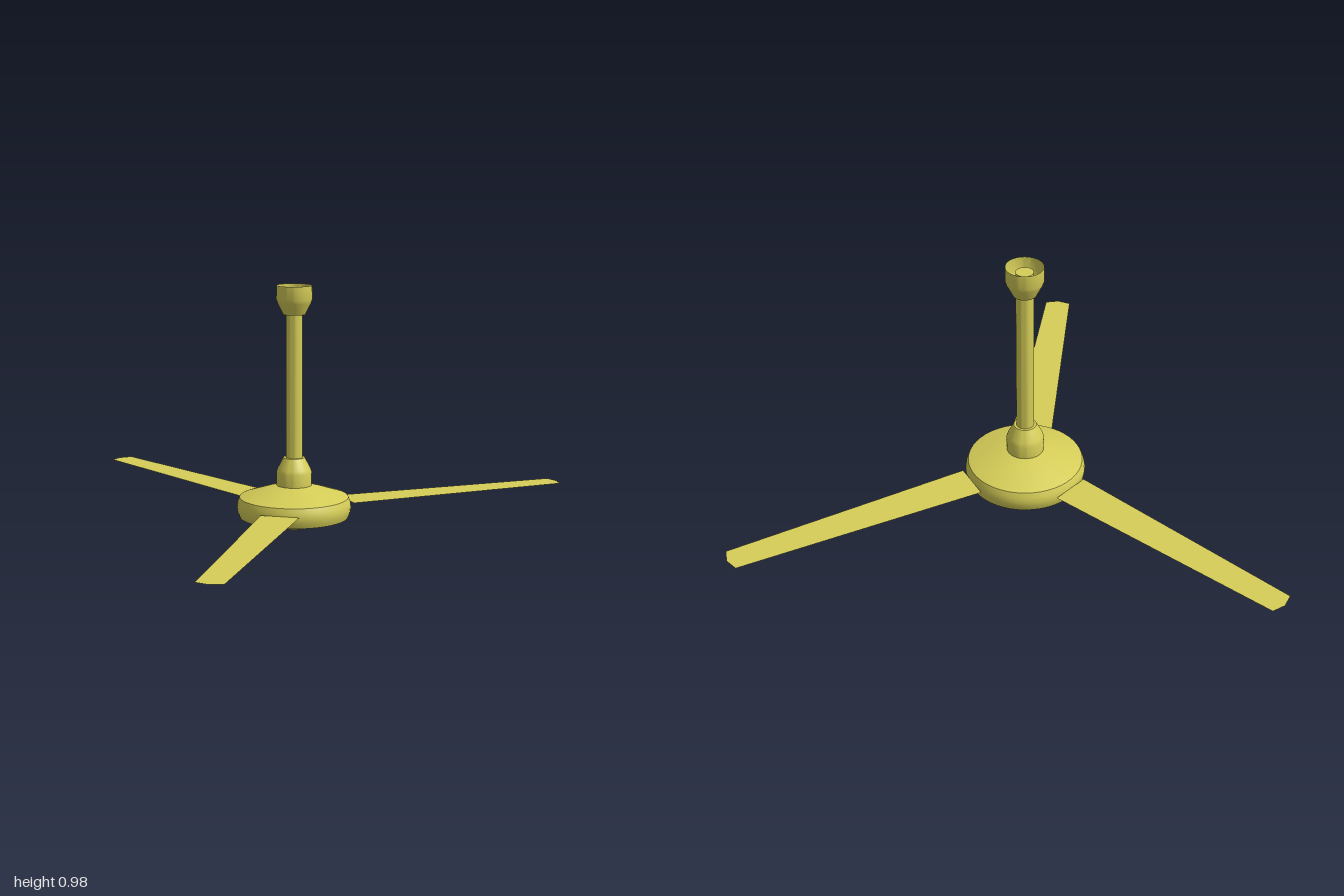
import * as THREE from 'three';
import { toCreasedNormals } from 'three/addons/utils/BufferGeometryUtils.js';

const yellow = new THREE.MeshStandardMaterial({ color: 0xd6ce58 });
const yellowThin = new THREE.MeshStandardMaterial({ color: 0xd6ce58, side: THREE.DoubleSide });

// Turned part from [radius, height] pairs listed bottom to top
function turned(name, profile, material = yellow) {
  const points = profile.map(([r, y]) => new THREE.Vector2(r, y));
  const geometry = toCreasedNormals(new THREE.LatheGeometry(points, 48), 0.4);
  const mesh = new THREE.Mesh(geometry, material);
  mesh.name = name;
  return mesh;
}

// Flat tapered blade running outwards along +z, with a shallow pointed tip
function blade(name, angle) {
  const shape = new THREE.Shape();
  shape.moveTo(-0.077, -0.228);
  shape.lineTo(-0.052, -1.185);
  shape.lineTo(0, -1.2);
  shape.lineTo(0.052, -1.185);
  shape.lineTo(0.077, -0.228);
  shape.closePath();
  const geometry = new THREE.ShapeGeometry(shape).rotateX(-Math.PI / 2);
  const mesh = new THREE.Mesh(geometry, yellowThin);
  mesh.name = name;
  mesh.position.y = 0.1;
  mesh.rotation.y = angle;
  return mesh;
}

export function createModel() {
  const fan = new THREE.Group();
  fan.name = 'ceilingFan';

  // Motor housing: shallow cones above and below a rounded rim
  fan.add(turned('motorHousing', [
    [0, 0.01], [0.06, 0.01], [0.218, 0.05], [0.226, 0.07], [0.229, 0.09],
    [0.226, 0.11], [0.218, 0.13], [0.07, 0.178], [0, 0.178],
  ]));
  fan.add(turned('bottomCap', [[0, 0], [0.035, 0], [0.062, 0.01], [0.062, 0.014]]));

  // Rod with a lower collar and an open upper cup
  fan.add(turned('lowerCollar', [
    [0.07, 0.17], [0.071, 0.23], [0.066, 0.245], [0.043, 0.29], [0, 0.29],
  ]));
  fan.add(turned('downRod', [[0.033, 0.28], [0.033, 0.955], [0, 0.955]]));
  fan.add(turned('ceilingCup', [
    [0, 0.862], [0.043, 0.862], [0.066, 0.907], [0.071, 0.922], [0.07, 0.977],
  ], yellowThin));

  // One blade to the front, two swept to the back
  const sweep = THREE.MathUtils.degToRad(125);
  fan.add(blade('frontBlade', 0), blade('leftBlade', sweep), blade('rightBlade', -sweep));

  fan.position.z = -0.24;
  const model = new THREE.Group();
  model.add(fan);
  return model;
}
